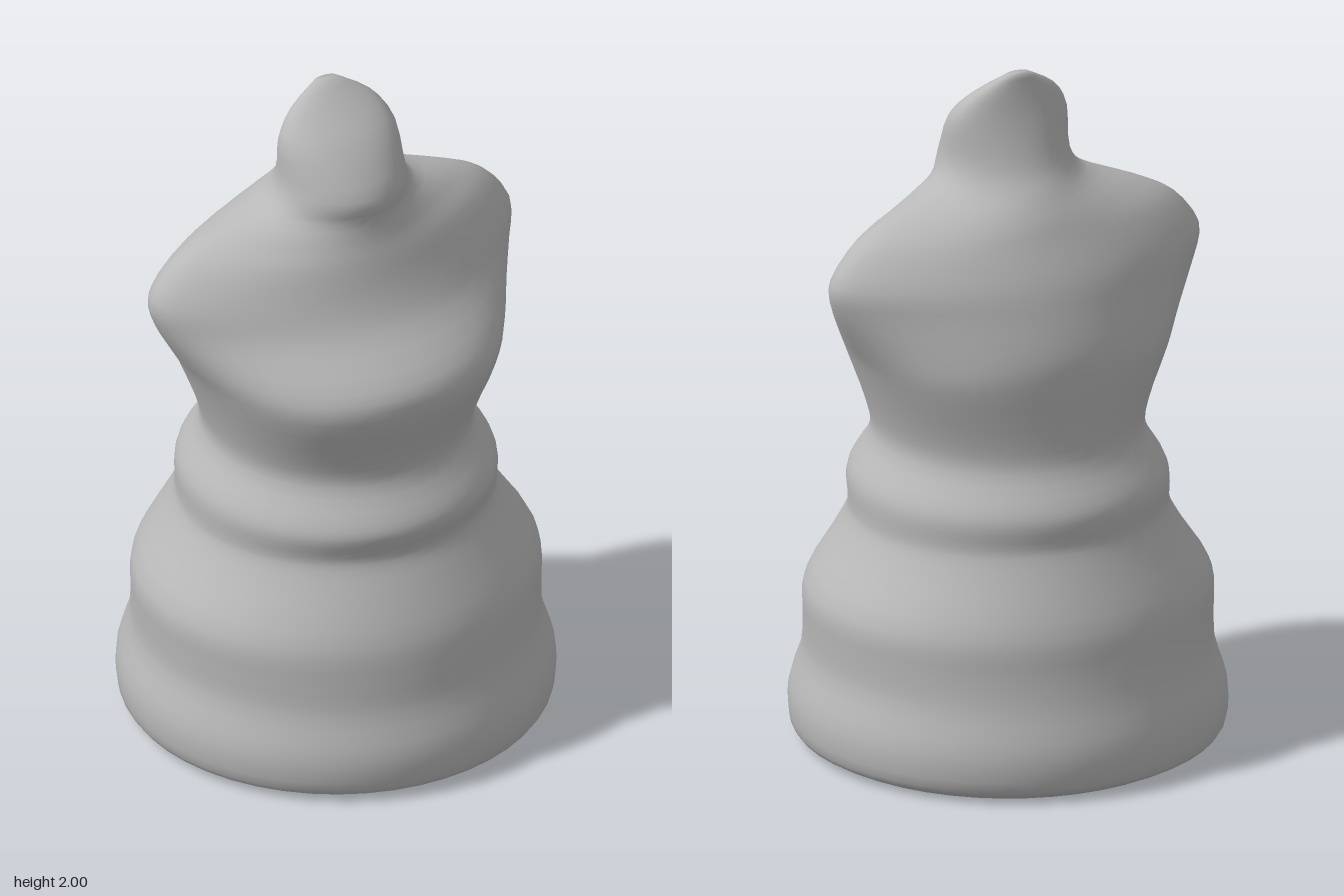
import * as THREE from 'three';

// Cross-sections: height, half width, front z, back z, z of widest point, pinch towards the sides
const SECTIONS = [
  [0.01, 0.58, 0.58, -0.58, 0, 0],
  [0.04, 0.615, 0.615, -0.615, 0, 0],
  [0.14, 0.62, 0.62, -0.62, 0, 0],
  [0.26, 0.585, 0.58, -0.585, 0, 0],
  [0.36, 0.585, 0.565, -0.565, 0, 0],
  [0.47, 0.583, 0.545, -0.55, 0, 0],
  [0.60, 0.50, 0.485, -0.495, 0, 0],
  [0.67, 0.462, 0.45, -0.465, 0, 0],
  [0.71, 0.455, 0.445, -0.455, 0, 0],
  [0.77, 0.455, 0.465, -0.46, 0, 0],
  [0.82, 0.44, 0.45, -0.445, 0, 0],
  [0.91, 0.39, 0.395, -0.39, 0, 0],
  [1.00, 0.398, 0.405, -0.38, 0, -0.05],
  [1.16, 0.455, 0.46, -0.385, -0.02, -0.12],
  [1.25, 0.505, 0.44, -0.38, -0.02, 0.05],
  [1.36, 0.565, 0.325, -0.35, -0.03, 0.28],
  [1.45, 0.58, 0.27, -0.32, -0.04, 0.35],
  [1.55, 0.505, 0.235, -0.27, -0.04, 0.4],
  [1.61, 0.395, 0.215, -0.24, -0.03, 0.45],
  [1.67, 0.24, 0.205, -0.20, 0, 0.2],
  [1.74, 0.188, 0.212, -0.15, 0.02, 0],
  [1.86, 0.18, 0.13, -0.105, 0, 0],
  [1.94, 0.13, 0.035, -0.085, -0.03, 0],
  [2.00, 0.035, -0.04, -0.075, -0.06, 0],
];
const SIDES = 48;
const STEPS = 3;

// Blend neighbouring sections smoothly
function sectionAt(t) {
  const last = SECTIONS.length - 1;
  const i = Math.min(Math.floor(t), last - 1);
  const f = t - i;
  const at = (k) => SECTIONS[Math.max(0, Math.min(last, k))];
  return SECTIONS[0].map((_, c) => {
    const p0 = at(i - 1)[c], p1 = at(i)[c], p2 = at(i + 1)[c], p3 = at(i + 2)[c];
    const m1 = (p2 - p0) / 2, m2 = (p3 - p1) / 2;
    return (2 * f ** 3 - 3 * f * f + 1) * p1 + (f ** 3 - 2 * f * f + f) * m1
      + (3 * f * f - 2 * f ** 3) * p2 + (f ** 3 - f * f) * m2;
  });
}

function ring([y, w, front, back, mid, pinch]) {
  return Array.from({ length: SIDES }, (_, j) => {
    const a = (j / SIDES) * Math.PI * 2;
    const c = Math.cos(a), s = Math.sin(a);
    const depth = s >= 0 ? front - mid : mid - back;
    return [w * c, y, mid + depth * s * (1 - pinch * c * c)];
  });
}

function loft() {
  const rows = (SECTIONS.length - 1) * STEPS;
  const positions = [], index = [];
  for (let i = 0; i <= rows; i++) positions.push(...ring(sectionAt(i / STEPS)).flat());
  for (let i = 0; i < rows; i++) {
    for (let j = 0; j < SIDES; j++) {
      const a = i * SIDES + j, b = i * SIDES + (j + 1) % SIDES;
      index.push(a, a + SIDES, b, b, a + SIDES, b + SIDES);
    }
  }
  // Close the crown
  const top = positions.length / 3;
  positions.push(0, 2, -0.06);
  for (let j = 0; j < SIDES; j++) {
    index.push(rows * SIDES + j, top, rows * SIDES + (j + 1) % SIDES);
  }
  const geometry = new THREE.BufferGeometry();
  geometry.setAttribute('position', new THREE.Float32BufferAttribute(positions, 3));
  geometry.setIndex(index);
  geometry.computeVertexNormals();
  return geometry;
}

export function createModel() {
  const group = new THREE.Group();
  group.name = 'bust';
  const clay = new THREE.MeshStandardMaterial({ color: 0xb8b8b8 });
  clay.name = 'grey clay';

  // Skirted base, waist, chest, shoulders and neck in one skin
  const body = new THREE.Mesh(loft(), clay);
  body.name = 'torso';
  group.add(body);

  // Flat underside with a short bevel
  const foot = new THREE.Mesh(new THREE.CylinderGeometry(0.58, 0.56, 0.01, SIDES), clay);
  foot.position.y = 0.005;
  foot.name = 'underside';
  group.add(foot);
  return group;
}
